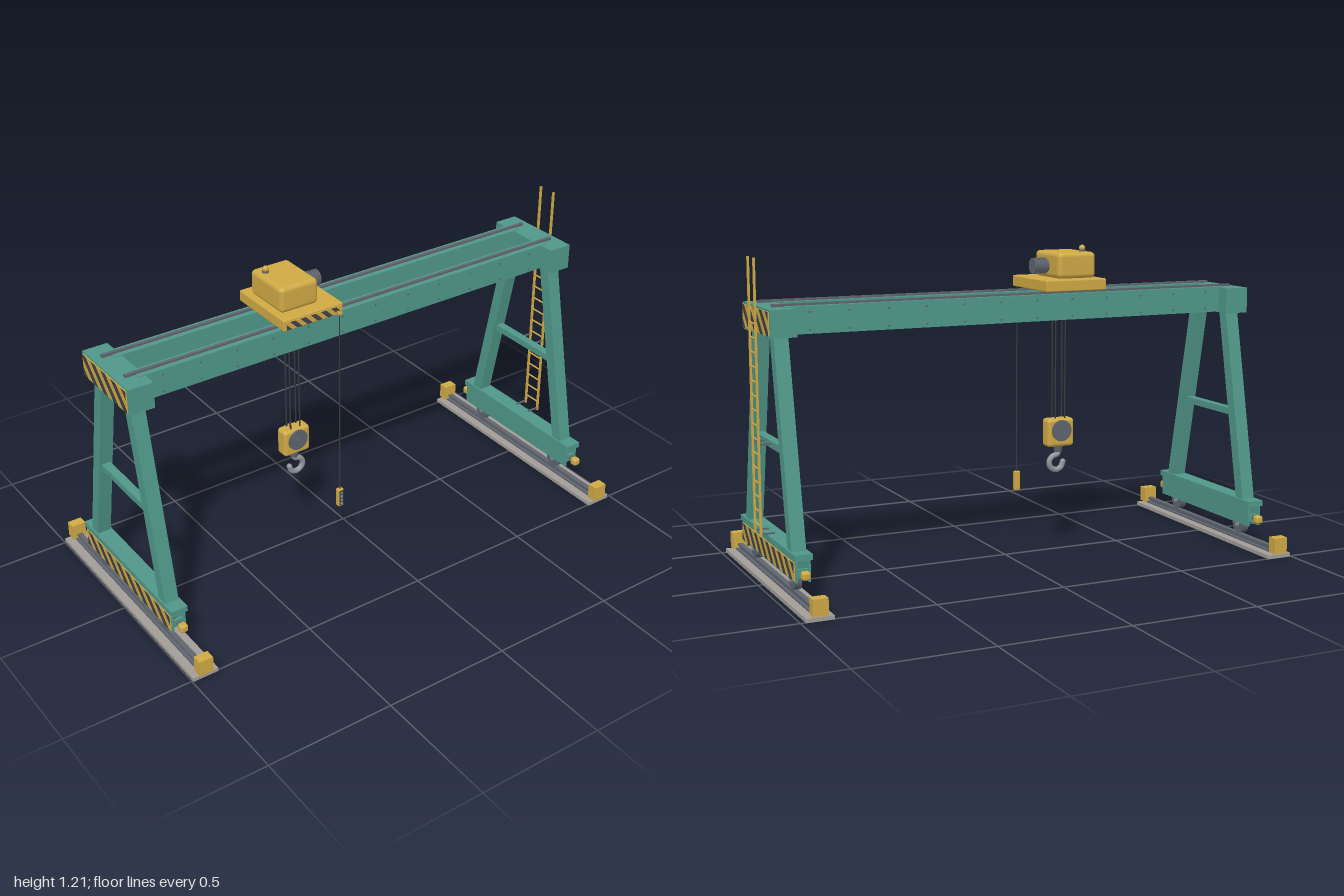
import * as THREE from 'three';
import { RoundedBoxGeometry } from 'three/addons/geometries/RoundedBoxGeometry.js';

const mat = (name, color) => {
  const m = new THREE.MeshStandardMaterial({ color });
  m.name = name;
  return m;
};

export function createModel() {
  const teal = mat('teal paint', 0x509789);
  const yellow = mat('yellow paint', 0xcfa945);
  const dark = mat('dark stripe', 0x3f4149);
  const steel = mat('dark steel', 0x5f646e);
  const hookSteel = mat('hook steel', 0x8f949a);
  const stone = mat('rail foundation', 0xa29d97);
  const ropeMat = mat('rope', 0x38393c);
  const green = mat('green button', 0x4f9a55);

  const root = new THREE.Group();
  root.name = 'gantryCrane';

  const add = (parent, name, geo, material, x = 0, y = 0, z = 0) => {
    const m = new THREE.Mesh(geo, material);
    m.name = name;
    m.position.set(x, y, z);
    parent.add(m);
    return m;
  };
  const box = (p, name, material, w, h, d, x, y, z) =>
    add(p, name, new THREE.BoxGeometry(w, h, d), material, x, y, z);
  const rounded = (p, name, material, w, h, d, r, x, y, z) =>
    add(p, name, new RoundedBoxGeometry(w, h, d, 3, r), material, x, y, z);
  const cyl = (p, name, material, r, len, axis, x, y, z, seg = 24, r2 = r) => {
    const g = new THREE.CylinderGeometry(r2, r, len, seg);
    if (axis === 'x') g.rotateZ(-Math.PI / 2);
    if (axis === 'z') g.rotateX(Math.PI / 2);
    return add(p, name, g, material, x, y, z);
  };

  // Cut a polygon at a vertical line, keeping the side where s * x <= s * limit
  const clip = (poly, limit, s) => {
    const out = [];
    poly.forEach((a, i) => {
      const b = poly[(i + 1) % poly.length];
      const inA = s * a.x <= s * limit, inB = s * b.x <= s * limit;
      if (inA) out.push(a);
      if (inA !== inB) out.push(a.clone().lerp(b, (limit - a.x) / (b.x - a.x)));
    });
    return out;
  };

  // Yellow plate with slanted dark bands, facing +z before it is turned
  const hazardPanel = (parent, name, w, h, period, x, y, z, turn) => {
    const g = new THREE.Group();
    g.name = name;
    box(g, 'hazardPlate', yellow, w, h, 0.004, 0, 0, 0.002);
    const V = (a, b) => new THREE.Vector2(a, b);
    for (let u = -w / 2 - period; u < w / 2 + h + period; u += period) {
      let poly = [V(u, -h / 2), V(u + period / 2, -h / 2), V(u + period / 2 - h, h / 2), V(u - h, h / 2)];
      poly = clip(clip(poly, w / 2, 1), -w / 2, -1);
      if (poly.length > 2)
        add(g, 'hazardStripe', new THREE.ShapeGeometry(new THREE.Shape(poly)), dark, 0, 0, 0.005);
    }
    g.position.set(x, y, z);
    g.rotation.y = turn;
    parent.add(g);
  };

  // Leaning leg: parallelogram in the z-y plane, extruded along x
  const leg = (p, s) => {
    const shape = new THREE.Shape([[0.237, 0.185], [0.285, 0.185], [0.131, 0.935], [0.083, 0.935]]
      .map(([u, v]) => new THREE.Vector2(u * s, v)));
    const g = new THREE.ExtrudeGeometry(shape, { depth: 0.054, bevelEnabled: false });
    g.translate(0, 0, -0.027).rotateY(Math.PI / 2);
    add(p, 'leg', g, teal);
  };

  // End frames with track, bogie, legs and head beam
  const makeEnd = (x, out) => {
    const e = new THREE.Group();
    e.name = out > 0 ? 'leftEndFrame' : 'rightEndFrame';
    e.position.x = x;
    root.add(e);

    box(e, 'trackFoundation', stone, 0.102, 0.015, 1.012, 0, 0.0075, 0);
    box(e, 'railFoot', steel, 0.036, 0.006, 1.0, 0, 0.018, 0);
    box(e, 'railWeb', steel, 0.01, 0.012, 1.0, 0, 0.026, 0);
    box(e, 'railHead', steel, 0.02, 0.009, 1.0, 0, 0.034, 0);

    box(e, 'bogieFlange', teal, 0.066, 0.022, 0.674, 0, 0.179, 0);
    for (const s of [-1, 1]) {
      box(e, 'bogieSidePlate', teal, 0.008, 0.08, 0.654, s * 0.024, 0.128, 0);
      box(e, 'endStop', yellow, 0.056, 0.062, 0.04, 0, 0.05, s * 0.494);
      box(e, 'bufferBracket', teal, 0.044, 0.03, 0.01, 0, 0.12, s * 0.318);
      cyl(e, 'bufferRod', steel, 0.008, 0.03, 'z', 0, 0.12, s * 0.332, 12);
      rounded(e, 'buffer', yellow, 0.032, 0.032, 0.032, 0.01, 0, 0.12, s * 0.355);
      cyl(e, 'wheel', steel, 0.037, 0.026, 'x', 0, 0.077, s * 0.235, 32);
      cyl(e, 'axle', hookSteel, 0.009, 0.04, 'x', 0, 0.077, s * 0.235, 16);
      leg(e, s);
    }
    box(e, 'tieBeam', teal, 0.034, 0.026, 0.36, 0, 0.527, 0);
    box(e, 'headBeam', teal, 0.098, 0.1, 0.334, 0, 0.976, 0);
    hazardPanel(e, 'headHazardPanel', 0.318, 0.086, 0.074, out * 0.049, 0.976, 0, out * Math.PI / 2);
    hazardPanel(e, 'bogieHazardPanel', 0.642, 0.066, 0.074, out * 0.028, 0.128, 0, out * Math.PI / 2);
  };
  makeEnd(-0.945, -1);
  makeEnd(0.931, 1);

  // Twin girders with trolley rails and bolts
  for (const s of [-1, 1]) {
    box(root, 'girder', teal, 1.83, 0.1, 0.056, -0.007, 0.979, s * 0.084);
    box(root, 'trolleyRail', steel, 1.91, 0.01, 0.013, -0.007, 1.032, s * 0.084);
    for (let i = 0; i < 12; i++)
      for (const y of [0.943, 1.008])
        cyl(root, 'girderBolt', steel, 0.004, 0.004, 'z', -0.832 + i * 0.15, y, s * 0.113, 8);
  }

  // Trolley
  const trolley = new THREE.Group();
  trolley.name = 'trolley';
  root.add(trolley);
  const tx = -0.232;
  rounded(trolley, 'trolleyDeck', yellow, 0.256, 0.044, 0.298, 0.005, tx, 1.063, 0);
  hazardPanel(trolley, 'trolleyHazardPanel', 0.236, 0.03, 0.044, tx, 1.062, 0.149, 0);
  for (const sx of [-1, 1]) for (const sz of [-1, 1])
    cyl(trolley, 'trolleyWheel', steel, 0.016, 0.016, 'x', tx + sx * 0.075, 1.05, sz * 0.084, 20)
      .rotation.y = Math.PI / 2;
  rounded(trolley, 'hoistHousing', yellow, 0.162, 0.1, 0.206, 0.018, -0.259, 1.134, 0);
  cyl(trolley, 'motor', steel, 0.026, 0.062, 'x', -0.148, 1.13, 0);
  for (let i = 0; i < 5; i++)
    cyl(trolley, 'motorFin', steel, 0.031, 0.006, 'x', -0.168 + i * 0.012, 1.13, 0);
  cyl(trolley, 'beaconBase', steel, 0.013, 0.008, 'y', -0.307, 1.186, -0.048, 16);
  add(trolley, 'beacon', new THREE.SphereGeometry(0.012, 16, 12), yellow, -0.307, 1.197, -0.048);

  // Hoist ropes and hook block
  const block = new THREE.Group();
  block.name = 'hookBlock';
  root.add(block);
  for (const x of [-0.254, -0.212]) for (const z of [-0.014, 0.014])
    cyl(block, 'hoistRope', ropeMat, 0.003, 0.54, 'y', x, 0.785, z, 8);
  rounded(block, 'blockBody', yellow, 0.116, 0.112, 0.058, 0.014, -0.232, 0.473, 0);
  for (const s of [-1, 1]) {
    cyl(block, 'sheaveCover', steel, 0.042, 0.008, 'z', -0.232, 0.482, s * 0.031, 32);
    cyl(block, 'sheavePin', steel, 0.012, 0.006, 'z', -0.232, 0.482, s * 0.036, 16);
  }
  cyl(block, 'hookSwivel', steel, 0.015, 0.028, 'y', -0.232, 0.407, 0, 20, 0.02);
  const hookPath = new THREE.CatmullRomCurve3([
    [-0.232, 0.405], [-0.23, 0.385], [-0.205, 0.374], [-0.193, 0.352], [-0.202, 0.33],
    [-0.223, 0.321], [-0.245, 0.33], [-0.254, 0.352],
  ].map(([x, y]) => new THREE.Vector3(x, y, 0)));
  add(block, 'hook', new THREE.TubeGeometry(hookPath, 48, 0.011, 12), hookSteel);
  add(block, 'hookTip', new THREE.SphereGeometry(0.011, 12, 8), hookSteel, -0.254, 0.352, 0);

  // Hanging control pendant
  const pendant = new THREE.Group();
  pendant.name = 'controlPendant';
  root.add(pendant);
  box(pendant, 'cableArm', yellow, 0.014, 0.01, 0.03, -0.13, 1.055, 0.157);
  cyl(pendant, 'pendantCable', ropeMat, 0.0025, 0.77, 'y', -0.13, 0.675, 0.163, 8);
  rounded(pendant, 'pendantBody', yellow, 0.024, 0.078, 0.02, 0.004, -0.13, 0.253, 0.163);
  box(pendant, 'buttonPlate', dark, 0.018, 0.066, 0.002, -0.13, 0.253, 0.1735);
  for (let i = 0; i < 4; i++)
    cyl(pendant, 'button', i % 2 ? green : hookSteel, 0.005, 0.006, 'z', -0.13, 0.229 + i * 0.016, 0.176, 10);

  // Access ladder on the left end
  const ladder = new THREE.Group();
  ladder.name = 'ladder';
  root.add(ladder);
  for (const s of [-1, 1]) {
    box(ladder, 'ladderRail', yellow, 0.008, 1.01, 0.008, 0.994, 0.695, s * 0.037);
    for (const y of [0.2, 0.53])
      box(ladder, 'ladderBracket', steel, 0.05, 0.006, 0.006, 0.967, y, s * 0.037);
  }
  for (let i = 0; i < 15; i++)
    cyl(ladder, 'rung', yellow, 0.0035, 0.074, 'z', 0.994, 0.23 + i * 0.0525, 0, 8);

  return root;
}
